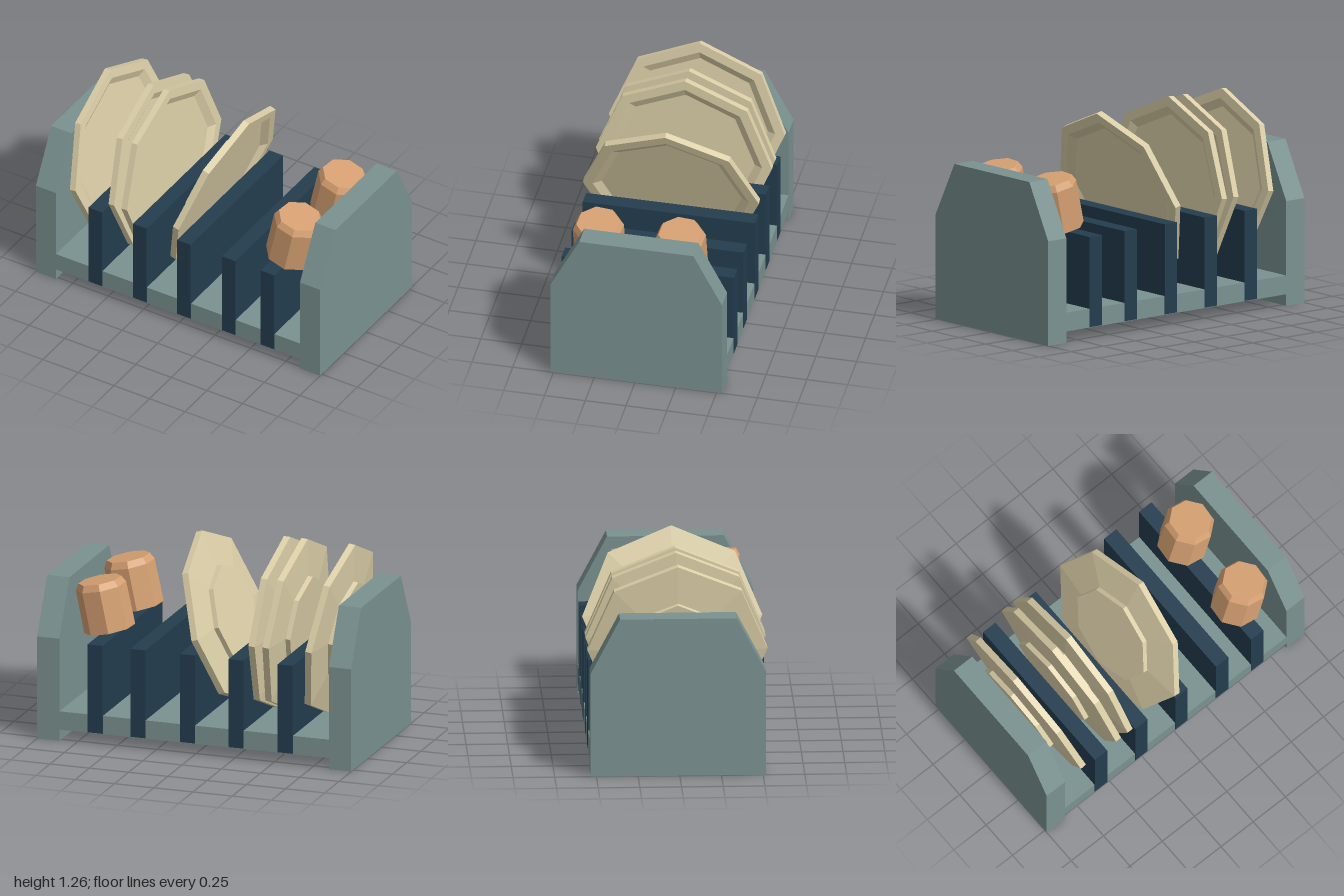
import * as THREE from 'three';

const paint = (color) => new THREE.MeshStandardMaterial({ color, flatShading: true });
const V = (points) => points.map(([r, h]) => new THREE.Vector2(r, h));

export function createModel() {
  const rack = new THREE.Group();
  rack.name = 'dishRack';
  const wallMat = paint(0x7a9291);
  const dividerMat = paint(0x243d4f);
  const plateMat = paint(0xdccfa8);
  const mugMat = paint(0xd6a072);

  const add = (name, geometry, material, x, y, z) => {
    const mesh = new THREE.Mesh(geometry, material);
    mesh.name = name;
    mesh.position.set(x, y, z);
    rack.add(mesh);
    return mesh;
  };

  // End walls: a side profile with cut top corners, extruded along x
  const midZ = -0.008, halfDepth = 0.526;
  const profile = new THREE.Shape(V([
    [-halfDepth, 0], [halfDepth, 0], [halfDepth, 0.64],
    [0.35, 0.975], [-0.35, 0.975], [-halfDepth, 0.64],
  ]));
  const wallGeo = new THREE.ExtrudeGeometry(profile, { depth: 0.142, bevelEnabled: false });
  wallGeo.translate(0, 0, -0.071).rotateY(Math.PI / 2);
  add('rightWall', wallGeo, wallMat, -0.929, 0, midZ);
  add('leftWall', wallGeo, wallMat, 0.929, 0, midZ);

  // Raised floor between the walls
  add('floor', new THREE.BoxGeometry(1.72, 0.115, 2 * halfDepth), wallMat, 0, 0.1275, midZ);

  // Upright dividers, a hair proud of the floor's front and back
  const dividerGeo = new THREE.BoxGeometry(0.096, 0.551, 2 * halfDepth + 0.004);
  for (const x of [-0.58, -0.267, 0.043, 0.358, 0.63]) {
    add('divider', dividerGeo, dividerMat, x, 0.3485, midZ);
  }

  // Eight-sided plates: foot, sloped underside, rim, shallow well facing +x
  const plateGeo = new THREE.LatheGeometry(V([
    [0, -0.075], [0.312, -0.075], [0.312, -0.045], [0.54, -0.02],
    [0.54, 0.02], [0.48, 0.02], [0.43, -0.008], [0, -0.008],
  ]), 8);
  plateGeo.rotateZ(-Math.PI / 2);
  const plates = [[-0.73, 0.158], [-0.458, 0.1], [-0.368, 0.06], [-0.005, -0.31]];
  for (const [x, tilt] of plates) {
    add('plate', plateGeo, plateMat, x, 0.72, -0.004).rotation.z = tilt;
  }

  // Upside-down mugs with a bevelled base on top, hollow from below
  const mugGeo = new THREE.LatheGeometry(V([
    [0, 0.26], [0.125, 0.26], [0.135, 0], [0.156, 0],
    [0.154, 0.265], [0.132, 0.305], [0, 0.305],
  ]), 8, 0.3);
  for (const z of [-0.215, 0.288]) {
    add('mug', mugGeo, mugMat, 0.653, 0.635, z).rotation.z = -0.21;
  }
  return rack;
}
